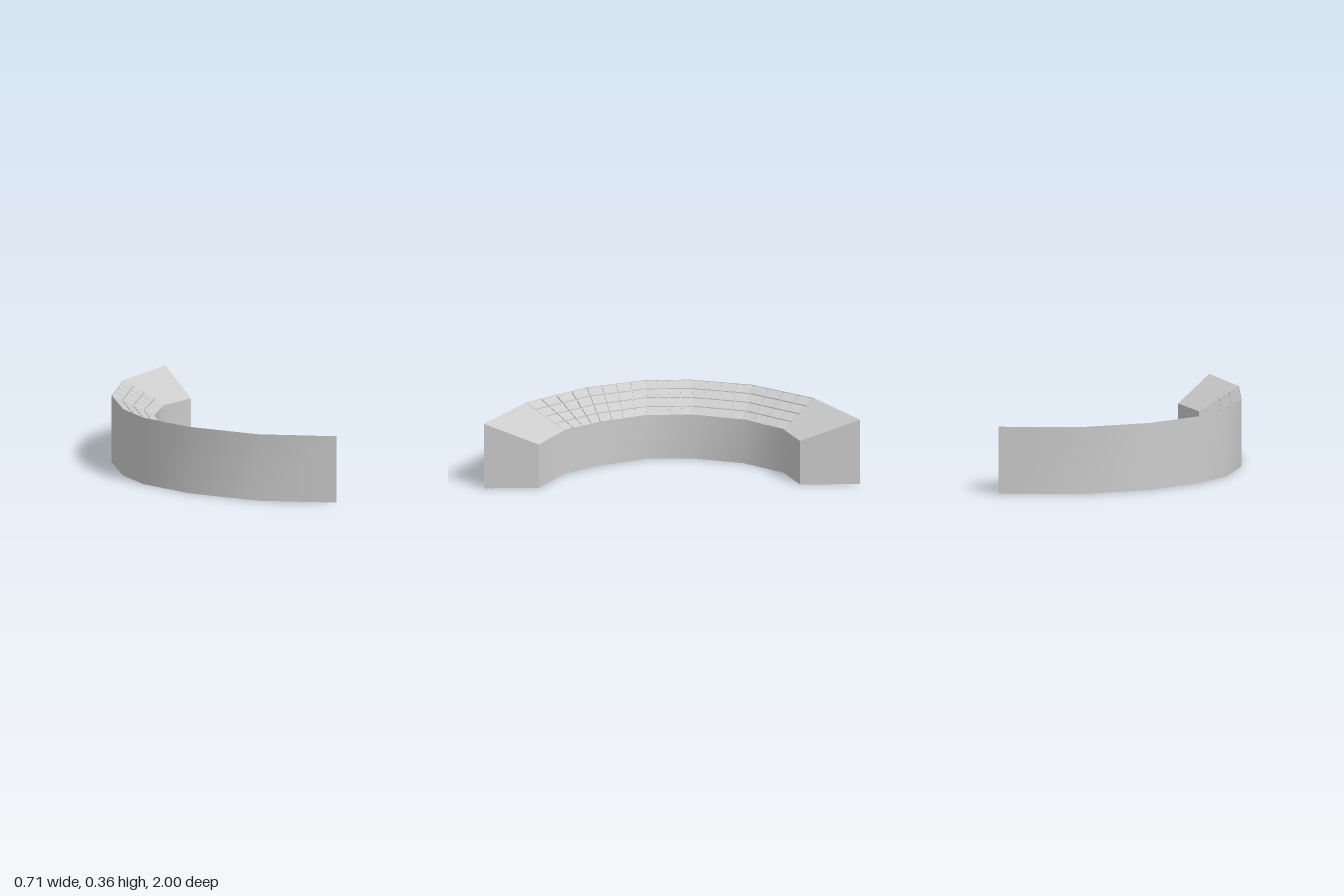
import * as THREE from 'three';
import { toCreasedNormals } from 'three/addons/utils/BufferGeometryUtils.js';

// Plan outlines as [x, z], running from the back end to the front end
const OUTER = [[0.335, -1], [-0.03, -0.765], [-0.26, -0.445], [-0.355, -0.12],
  [-0.355, 0.125], [-0.24, 0.44], [0.005, 0.77], [0.355, 1]];
const INNER = [[0.33, -0.68], [0.135, -0.598], [-0.03, -0.39], [-0.117, -0.12],
  [-0.117, 0.125], [-0.012, 0.372], [0.12, 0.565], [0.355, 0.708]];
const OUTER_H = 0.361, INNER_H = 0.243;
const SEGMENTS = OUTER.length - 1;
const TILES = 4;        // tiles along and across each segment
const GAP = 0.003;      // half the joint width
const DEPTH = 0.008;    // depth of the joints

const material = new THREE.MeshStandardMaterial({ color: 0xcccccc, side: THREE.DoubleSide });
const at = ([x, z], y) => new THREE.Vector3(x, y, z);

function quadMesh(name, quads, crease = 0) {
  const pts = quads.flatMap(([a, b, c, d]) => [a, b, c, a, c, d]);
  let geo = new THREE.BufferGeometry().setFromPoints(pts);
  geo.computeVertexNormals();
  if (crease) geo = toCreasedNormals(geo, crease);
  const mesh = new THREE.Mesh(geo, material);
  mesh.name = name;
  return mesh;
}

// Point on the sloping top of segment i: s along the curve, t from outer to inner edge
function topPoint(i, s, t, drop = 0) {
  const o = at(OUTER[i], OUTER_H).lerp(at(OUTER[i + 1], OUTER_H), s);
  const n = at(INNER[i], INNER_H).lerp(at(INNER[i + 1], INNER_H), s);
  const p = o.lerp(n, t);
  p.y -= drop;
  return p;
}

// Four corners of a patch of the top
const patch = (i, s0, s1, t0, t1, drop) => [
  topPoint(i, s0, t0, drop), topPoint(i, s1, t0, drop),
  topPoint(i, s1, t1, drop), topPoint(i, s0, t1, drop)];

export function createModel() {
  const group = new THREE.Group();
  group.name = 'curvedStand';
  const outerWall = [], innerWall = [], floor = [], endTops = [], tileBed = [], tiles = [];

  for (let i = 0; i < SEGMENTS; i++) {
    const o0 = OUTER[i], o1 = OUTER[i + 1], n0 = INNER[i], n1 = INNER[i + 1];
    outerWall.push([at(o0, 0), at(o1, 0), at(o1, OUTER_H), at(o0, OUTER_H)]);
    innerWall.push([at(n1, 0), at(n0, 0), at(n0, INNER_H), at(n1, INNER_H)]);
    floor.push([at(n0, 0), at(n1, 0), at(o1, 0), at(o0, 0)]);

    // Plain tops on the two end blocks
    if (i === 0 || i === SEGMENTS - 1) {
      endTops.push(patch(i, 0, 1, 0, 1, 0));
      continue;
    }

    // Sunken bed with a grid of separate tiles flush with the walls
    tileBed.push(patch(i, 0, 1, 0, 1, DEPTH));
    const length = at(o0, 0).distanceTo(at(o1, 0));
    const width = at(o0, 0).distanceTo(at(n0, 0));
    const gs = GAP / length, gt = GAP / width;
    for (let r = 0; r < TILES; r++) {
      for (let c = 0; c < TILES; c++) {
        const range = [r / TILES + gs, (r + 1) / TILES - gs, c / TILES + gt, (c + 1) / TILES - gt];
        const top = patch(i, ...range, 0);
        const base = patch(i, ...range, DEPTH);
        tiles.push(top);
        for (let k = 0; k < 4; k++) {
          const m = (k + 1) % 4;
          tiles.push([base[k], base[m], top[m], top[k]]);
        }
      }
    }
  }

  // Upright faces closing the two ends
  const e = SEGMENTS;
  const endFaces = [
    [at(INNER[0], 0), at(OUTER[0], 0), at(OUTER[0], OUTER_H), at(INNER[0], INNER_H)],
    [at(OUTER[e], 0), at(INNER[e], 0), at(INNER[e], INNER_H), at(OUTER[e], OUTER_H)],
  ];

  group.add(
    quadMesh('outerWall', outerWall, 0.6),
    quadMesh('innerWall', innerWall, 0.6),
    quadMesh('floor', floor),
    quadMesh('endFaces', endFaces),
    quadMesh('endTops', endTops),
    quadMesh('tileBed', tileBed),
    quadMesh('tiles', tiles),
  );
  return group;
}
